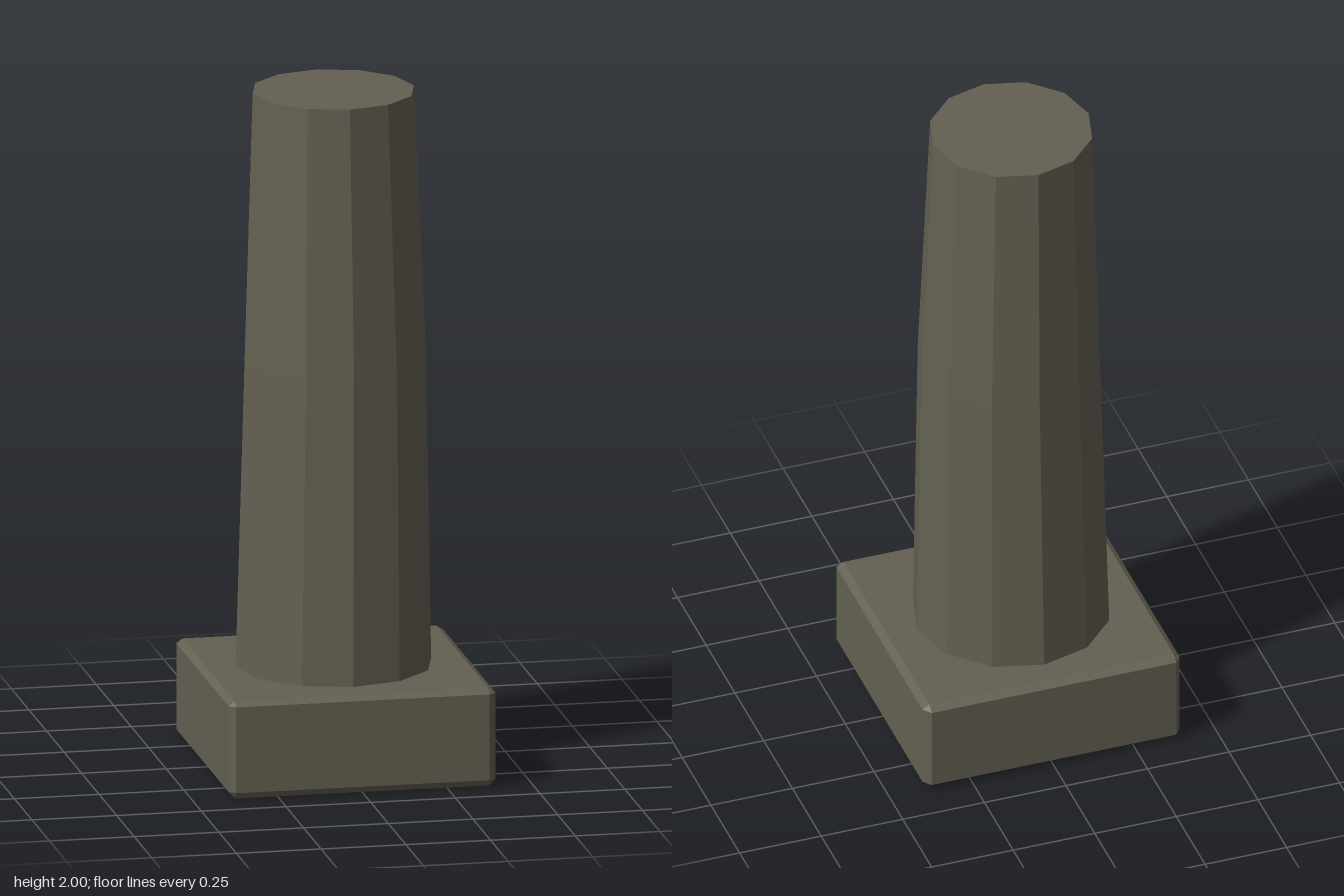
import * as THREE from 'three';
import { ConvexGeometry } from 'three/addons/geometries/ConvexGeometry.js';

const stone = new THREE.MeshStandardMaterial({ color: 0x646052, flatShading: true });
stone.name = 'weathered stone';

// Square block with slightly uneven chamfers along every edge
function makePlinth() {
  const half = 0.394, height = 0.29;
  const points = [];
  for (const x of [-1, 1]) {
    for (const z of [-1, 1]) {
      const cutX = x < 0 ? 0.018 : 0.021;
      const cutZ = z < 0 ? 0.025 : 0.017;
      for (const top of [false, true]) {
        const y = top ? height : 0;
        const cutY = top ? -0.014 : 0.02;
        points.push(
          new THREE.Vector3(x * (half - cutX), y, z * (half - cutZ)),
          new THREE.Vector3(x * half, y + cutY, z * (half - cutZ)),
          new THREE.Vector3(x * (half - cutX), y + cutY, z * half),
        );
      }
    }
  }
  const mesh = new THREE.Mesh(new ConvexGeometry(points), stone);
  mesh.name = 'plinth';
  return mesh;
}

// Twelve-sided tapering shaft, swelling gently on one side at mid height
function makeShaft() {
  const profile = [[0, 0.27], [0.289, 0.27], [0.268, 1.2], [0.238, 2], [0, 2]];
  const geometry = new THREE.LatheGeometry(profile.map(([r, y]) => new THREE.Vector2(r, y)), 12);
  const position = geometry.attributes.position;
  for (let i = 0; i < position.count; i++) {
    const y = position.getY(i);
    const shift = Math.abs(y - 1.2) < 0.01 ? -0.001 : -0.006;
    position.setX(i, position.getX(i) + shift);
    position.setZ(i, position.getZ(i) + shift);
  }
  geometry.computeVertexNormals();
  const mesh = new THREE.Mesh(geometry, stone);
  mesh.name = 'shaft';
  return mesh;
}

export function createModel() {
  const group = new THREE.Group();
  group.name = 'stoneColumn';
  group.add(makePlinth(), makeShaft());
  return group;
}
